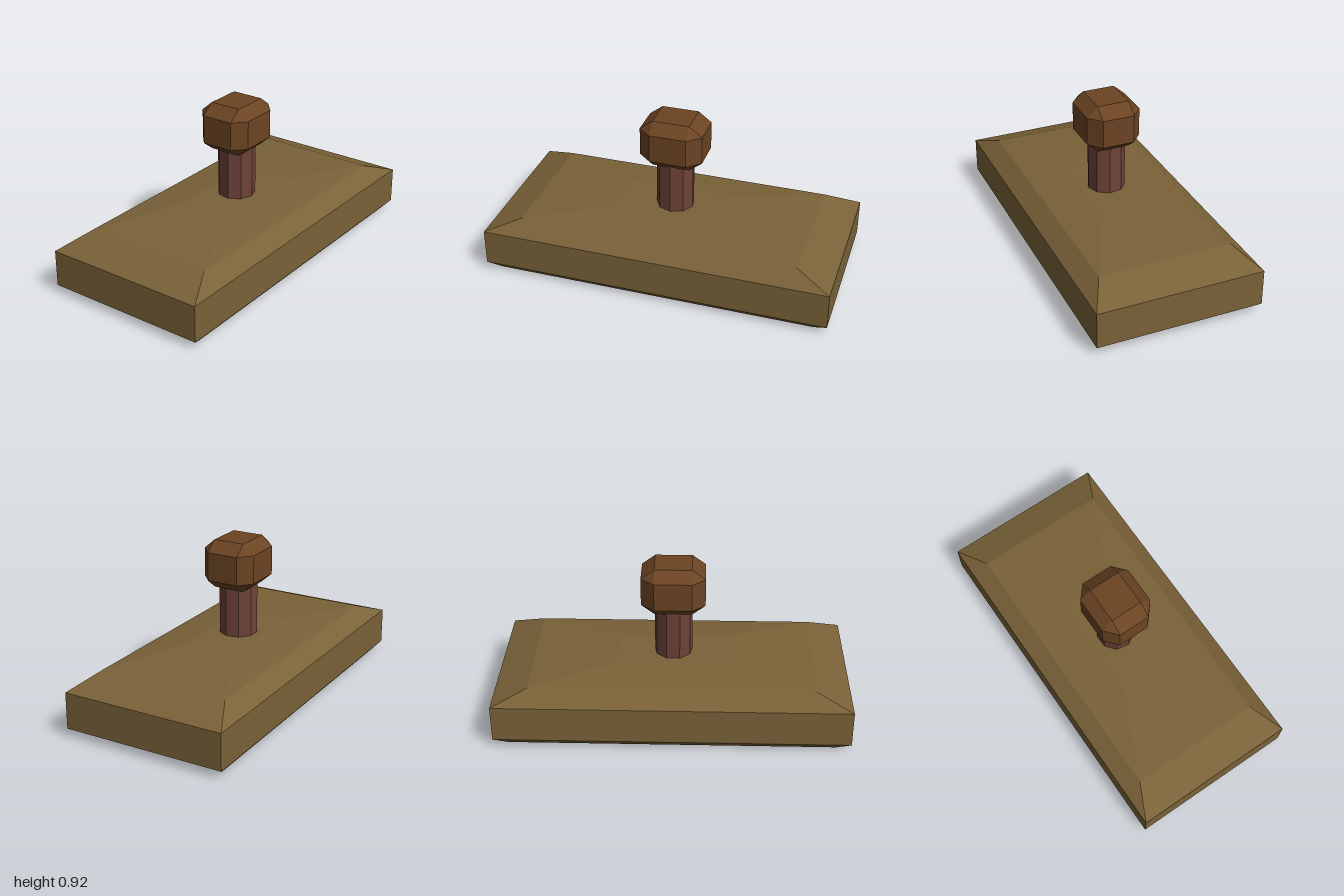
import * as THREE from 'three';
import { ConvexGeometry } from 'three/addons/geometries/ConvexGeometry.js';

// The four mirrored corners of a rectangle at height y
function ring(x, y, z) {
  return [[1, 1], [-1, 1], [-1, -1], [1, -1]].map(([sx, sz]) => new THREE.Vector3(sx * x, y, sz * z));
}

function part(name, geometry, color) {
  const mesh = new THREE.Mesh(geometry, new THREE.MeshStandardMaterial({ color, flatShading: true }));
  mesh.name = name;
  return mesh;
}

export function createModel() {
  const group = new THREE.Group();
  group.name = 'blockWithKnob';

  // Base slab: chamfered underside, straight walls, two-step sloping top
  const base = new ConvexGeometry([
    ...ring(0.92, 0, 0.438),
    ...ring(1, 0.045, 0.478),
    ...ring(1, 0.255, 0.478),
    ...ring(0.8, 0.33, 0.382),
    ...ring(0.32, 0.362, 0.155),
  ]);
  group.add(part('base', base, 0x7a6238));

  // Nine-sided stem, sunk into the base and the knob
  const stem = new THREE.CylinderGeometry(0.108, 0.109, 0.38, 9);
  stem.translate(0, 0.5, 0);
  group.add(part('stem', stem, 0x6d4238));

  // Knob: box with every edge and corner chamfered
  const knob = new ConvexGeometry([
    ...ring(0.105, 0.645, 0.092),
    ...ring(0.18, 0.702, 0.092),
    ...ring(0.105, 0.702, 0.157),
    ...ring(0.18, 0.865, 0.092),
    ...ring(0.105, 0.865, 0.157),
    ...ring(0.105, 0.922, 0.092),
  ]);
  group.add(part('knob', knob, 0x6b4423));

  return group;
}
